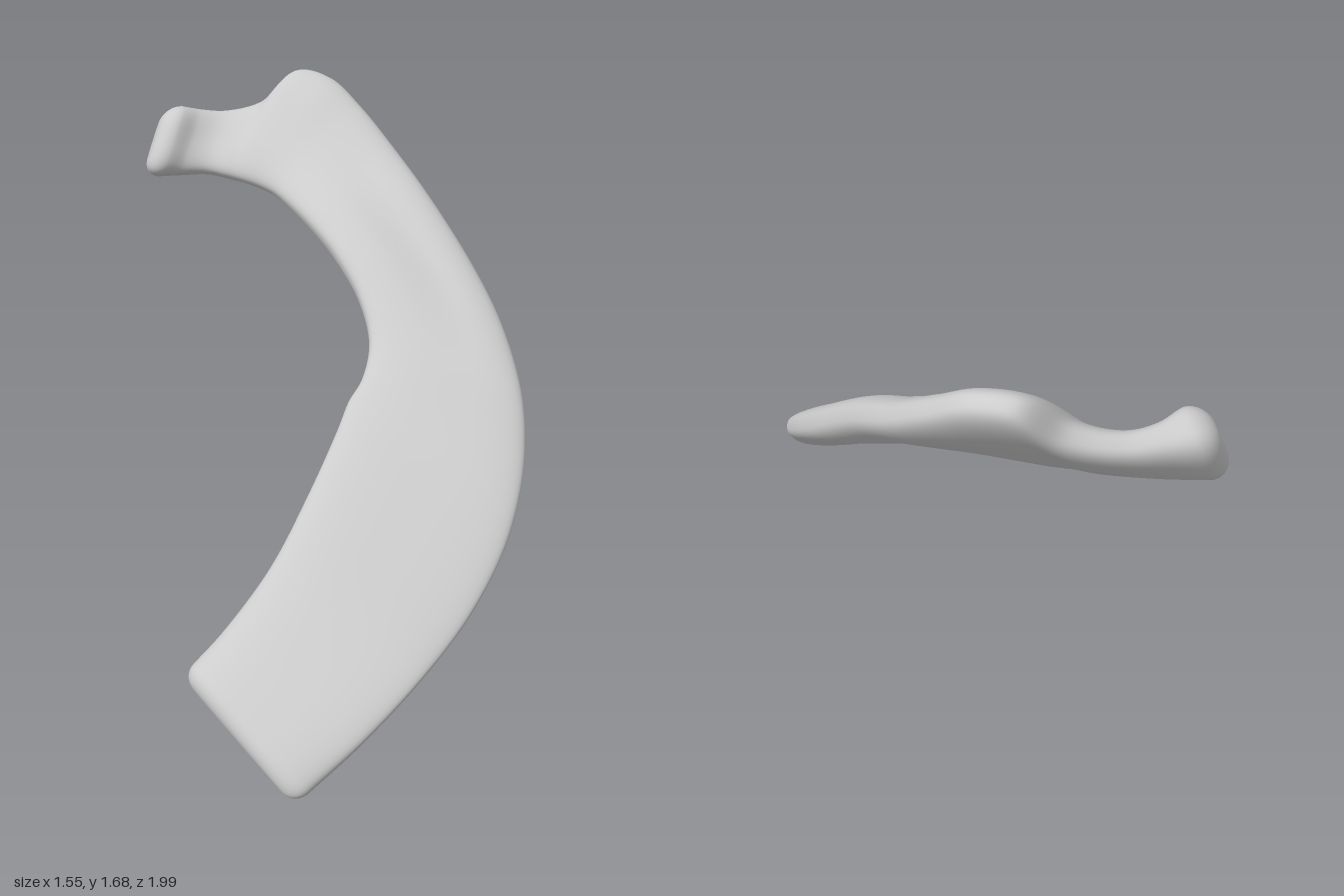
import * as THREE from 'three';

// Stations along the bone: inner edge xyz, outer edge xyz, half thickness
const STATIONS = [
  [-0.09, 0.25, 0.76, 0.33, 0.025, 0.97, 0.075],
  [-0.025, 0.325, 0.685, 0.455, 0.135, 0.85, 0.064],
  [0.07, 0.465, 0.515, 0.58, 0.25, 0.675, 0.052],
  [0.13, 0.62, 0.295, 0.685, 0.36, 0.46, 0.048],
  [0.17, 0.76, 0.09, 0.752, 0.485, 0.25, 0.048],
  [0.182, 0.82, 0.00, 0.772, 0.60, 0.085, 0.05],
  [0.207, 0.87, -0.07, 0.762, 0.71, -0.06, 0.053],
  [0.205, 0.955, -0.175, 0.722, 0.84, -0.19, 0.058],
  [0.14, 1.065, -0.285, 0.62, 0.99, -0.365, 0.063],
  [0.02, 1.17, -0.40, 0.49, 1.13, -0.51, 0.069],
  [-0.10, 1.235, -0.50, 0.30, 1.31, -0.67, 0.071],
  [-0.20, 1.275, -0.58, 0.12, 1.45, -0.82, 0.069],
  [-0.27, 1.295, -0.635, -0.02, 1.56, -0.91, 0.068],
  [-0.33, 1.305, -0.665, -0.15, 1.645, -0.965, 0.068],
  [-0.39, 1.315, -0.68, -0.28, 1.66, -0.98, 0.064],
  [-0.46, 1.325, -0.69, -0.385, 1.555, -0.92, 0.056],
  [-0.55, 1.333, -0.695, -0.52, 1.52, -0.87, 0.052],
  [-0.64, 1.327, -0.67, -0.61, 1.53, -0.825, 0.062],
  [-0.712, 1.325, -0.635, -0.675, 1.55, -0.78, 0.083],
];
const SIDES = 56, STEPS = 144, CAP = 8;

const edge = (k) => new THREE.CatmullRomCurve3(
  STATIONS.map((s) => new THREE.Vector3(s[k], s[k + 1], s[k + 2])));
const bump = (v, centre, width) => Math.exp(-(((v - centre) / width) ** 2));
const power = (v, e) => Math.sign(v) * Math.abs(v) ** e;

function boneGeometry() {
  const inner = edge(0), outer = edge(3);
  const middle = (t) => inner.getPoint(t).lerp(outer.getPoint(t), 0.5);
  const last = STATIONS.length - 1;
  const thickness = new THREE.SplineCurve(STATIONS.map((s, i) => new THREE.Vector2(i, s[6])));
  const positions = [], index = [];

  // One blunt-edged oval ring; bend > 0 rounds the ring over into an end cap
  function ring(t, bend, direction) {
    const a = inner.getPoint(t), b = outer.getPoint(t);
    const across = b.clone().sub(a);
    let w = across.length() / 2, h = thickness.getPoint(t).y;
    const tangent = middle(Math.min(t + 0.03, 1)).sub(middle(Math.max(t - 0.03, 0))).normalize();
    across.normalize();
    const normal = tangent.clone().cross(across).normalize();
    const r = h * 0.75;
    const c = a.add(b).multiplyScalar(0.5).addScaledVector(tangent, direction * r * Math.sin(bend));
    w -= r * (1 - Math.cos(bend));
    h -= r * (1 - Math.cos(bend));
    for (let j = 0; j < SIDES; j++) {
      const q = (j / SIDES) * Math.PI * 2, cos = Math.cos(q), sin = Math.sin(q);
      const u = power(cos, 0.7);
      // The front half of the bone thins towards its outer edge
      let v = power(sin, 0.75) * h * (1 - 0.25 * u * bump(t * last, 1.5, 3));
      // Shallow groove on the upper face, slight hollow on the underside
      if (sin < 0) v += 0.016 * bump(t * last, 9.3, 1.6) * bump(u, 0.2, 0.3);
      else v -= 0.01 * bump(t * last, 4, 3) * bump(u, 0, 0.5);
      const p = c.clone().addScaledVector(across, u * w).addScaledVector(normal, v);
      positions.push(p.x, p.y, p.z);
    }
    return c;
  }

  let start, end;
  for (let i = CAP; i > 0; i--) {
    const c = ring(0, (i / CAP) * Math.PI / 2, -1);
    start = start || c;
  }
  for (let i = 0; i <= STEPS; i++) ring(i / STEPS, 0, 0);
  for (let i = 1; i <= CAP; i++) end = ring(1, (i / CAP) * Math.PI / 2, 1);

  const rings = positions.length / 3 / SIDES;
  const first = rings * SIDES, final = first + 1;
  positions.push(...start.toArray(), ...end.toArray());
  for (let j = 0; j < SIDES; j++) {
    const k = (j + 1) % SIDES;
    for (let i = 0; i < rings - 1; i++) {
      const p = i * SIDES, q = p + SIDES;
      index.push(p + j, p + k, q + j, p + k, q + k, q + j);
    }
    const top = (rings - 1) * SIDES;
    index.push(first, k, j, final, top + j, top + k);
  }

  const g = new THREE.BufferGeometry();
  g.setAttribute('position', new THREE.Float32BufferAttribute(positions, 3));
  g.setIndex(index);
  g.computeVertexNormals();
  return g;
}

export function createModel() {
  const group = new THREE.Group();
  group.name = 'firstRib';
  const bone = new THREE.Mesh(boneGeometry(), new THREE.MeshStandardMaterial({ color: 0xcccccc }));
  bone.name = 'ribBone';
  group.add(bone);
  return group;
}
